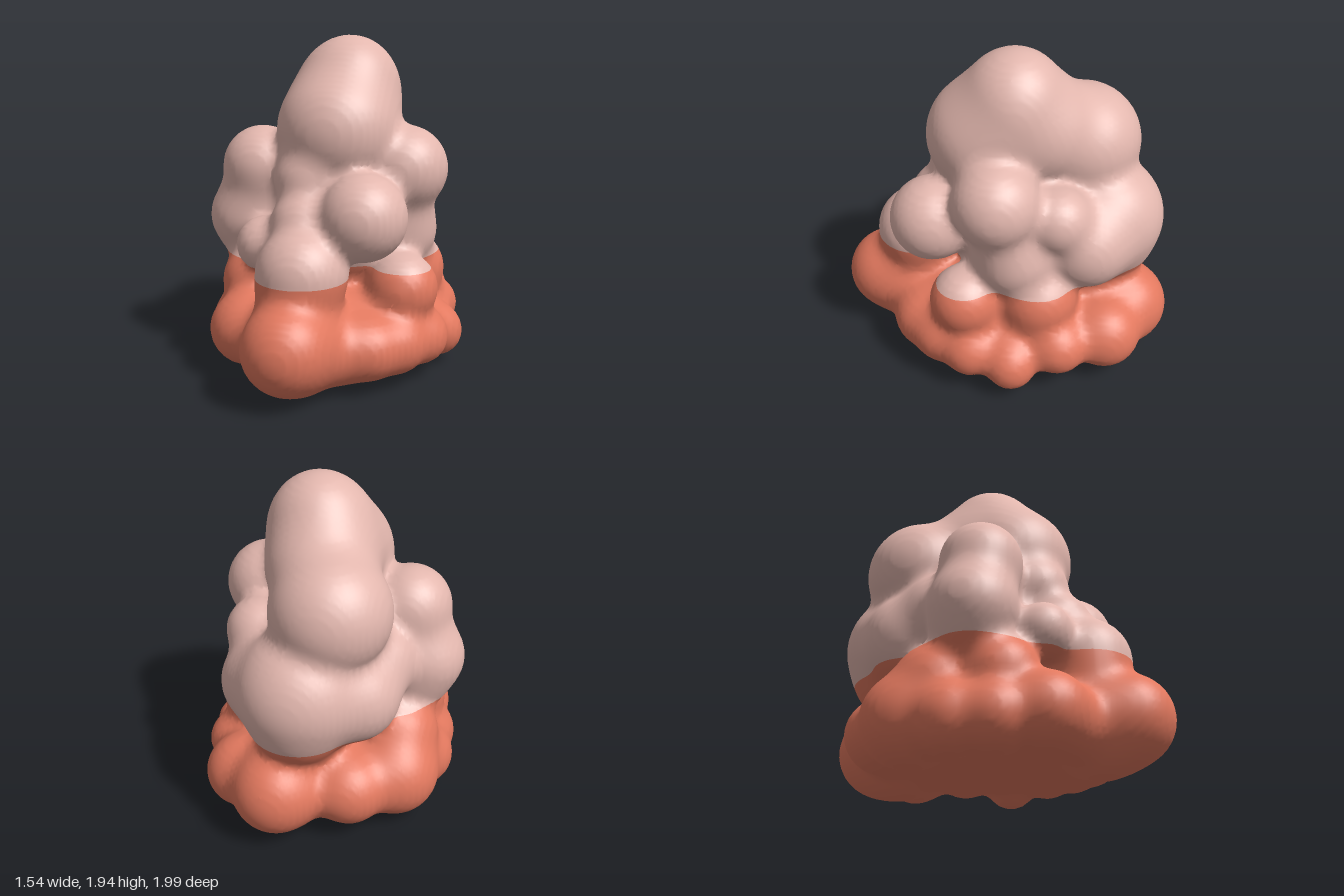
import * as THREE from 'three';

// Puffs of the cloud: x, y, z, radius
const crown = [
  [0.08, 1.67, -0.06, 0.277], [0.06, 1.55, -0.04, 0.32], [0.05, 1.42, 0.09, 0.352],
  [0.02, 1.46, -0.2, 0.32], [-0.1, 1.32, -0.44, 0.338],
];
const middle = [
  // core and back
  [0, 0.85, -0.05, 0.42], [0.03, 0.89, -0.575, 0.363], [0.03, 0.71, -0.62, 0.25],
  [-0.22, 0.84, -0.45, 0.28], [0.25, 0.85, -0.48, 0.27], [-0.3, 0.95, -0.25, 0.24],
  // right flank
  [-0.435, 1.18, 0.02, 0.237], [-0.46, 1.02, 0.01, 0.21], [-0.52, 0.87, 0, 0.248],
  [-0.48, 0.72, -0.03, 0.2],
  // left flank
  [0.425, 1.2, 0.02, 0.248], [0.38, 0.98, -0.03, 0.2], [0.36, 1.07, -0.32, 0.19],
  [0.35, 0.82, -0.08, 0.25], [0.27, 0.98, 0.395, 0.245],
  // front column
  [-0.08, 1.15, 0.25, 0.2], [-0.07, 0.92, 0.38, 0.19], [-0.04, 0.68, 0.53, 0.257],
  [-0.06, 0.5, 0.55, 0.23], [-0.32, 0.78, 0.34, 0.16],
  // waist
  [0.455, 0.54, 0.2, 0.203], [0.4, 0.54, -0.22, 0.23], [-0.44, 0.46, -0.22, 0.24],
  [-0.43, 0.5, 0.13, 0.22], [0.05, 0.52, -0.5, 0.25],
];
const skirt = [
  [-0.06, 0.32, 0.745, 0.255], [-0.05, 0.28, 0.59, 0.275], [0.17, 0.24, 0.5, 0.185],
  [0.33, 0.25, 0.46, 0.17], [0.45, 0.25, 0.33, 0.17], [0.56, 0.24, 0.16, 0.155],
  [0.62, 0.2, -0.08, 0.15], [0.53, 0.28, -0.35, 0.165], [0.38, 0.28, -0.62, 0.215],
  [0.13, 0.3, -0.74, 0.257], [0.1, 0.28, -0.6, 0.265], [-0.25, 0.28, -0.58, 0.215],
  [-0.46, 0.28, -0.36, 0.26], [-0.56, 0.23, -0.1, 0.195], [-0.53, 0.23, 0.13, 0.19],
  [-0.42, 0.28, 0.38, 0.215], [-0.25, 0.25, 0.47, 0.18],
];
const puffs = [...crown, ...middle, ...skirt];
const BLEND = 0.075;
const COLOR_LINE = 0.66;

// Signed distance to the softly merged puffs over a flattened base
function field(x, y, z) {
  const q = Math.hypot(x / 0.63, (y - 0.3) / 0.27, (z + 0.05) / 0.72);
  let d = (q - 1) * 0.27;
  for (const [cx, cy, cz, r] of puffs) {
    const e = Math.sqrt((x - cx) ** 2 + (y - cy) ** 2 + (z - cz) ** 2) - r;
    const h = Math.max(BLEND - Math.abs(d - e), 0) / BLEND;
    d = Math.min(d, e) - h * h * BLEND * 0.25;
  }
  return d;
}

// One vertex per crossed grid cell, one quad per crossed grid edge
function surfaceNet(step) {
  const min = [-0.9, -0.15, -1.14];
  const [nx, ny, nz] = [1.8, 2.25, 2.28].map((s) => Math.ceil(s / step) + 1);
  const stride = [1, nx, nx * ny];
  const values = new Float32Array(nx * ny * nz);
  const at = (i, j, k) => i + j * nx + k * nx * ny;
  for (let k = 0; k < nz; k++) for (let j = 0; j < ny; j++) for (let i = 0; i < nx; i++)
    values[at(i, j, k)] = field(min[0] + i * step, min[1] + j * step, min[2] + k * step);

  const cells = new Int32Array(values.length).fill(-1);
  const positions = [], index = [];
  for (let k = 0; k < nz - 1; k++) for (let j = 0; j < ny - 1; j++) for (let i = 0; i < nx - 1; i++) {
    const sum = [0, 0, 0];
    let count = 0;
    for (let c = 0; c < 8; c++) for (let a = 0; a < 3; a++) {
      if (c & (1 << a)) continue;
      const o = [c & 1, (c >> 1) & 1, (c >> 2) & 1];
      const p = at(i + o[0], j + o[1], k + o[2]);
      const v0 = values[p], v1 = values[p + stride[a]];
      if ((v0 < 0) === (v1 < 0)) continue;
      o[a] = v0 / (v0 - v1);
      for (let n = 0; n < 3; n++) sum[n] += o[n];
      count++;
    }
    if (!count) continue;
    cells[at(i, j, k)] = positions.length / 3;
    [i, j, k].forEach((g, n) => positions.push(min[n] + (g + sum[n] / count) * step));
  }
  for (let k = 1; k < nz - 1; k++) for (let j = 1; j < ny - 1; j++) for (let i = 1; i < nx - 1; i++) {
    const p = at(i, j, k);
    for (let a = 0; a < 3; a++) {
      const inside = values[p] < 0;
      if (inside === (values[p + stride[a]] < 0)) continue;
      const u = stride[(a + 1) % 3], v = stride[(a + 2) % 3];
      const [A, B, C, D] = [cells[p - u - v], cells[p - v], cells[p], cells[p - u]];
      if (inside) index.push(A, B, C, A, C, D);
      else index.push(A, C, B, A, D, C);
    }
  }
  const geometry = new THREE.BufferGeometry();
  geometry.setAttribute('position', new THREE.Float32BufferAttribute(positions, 3));
  geometry.setIndex(index);
  geometry.computeVertexNormals();
  return geometry;
}

// Keep the part above (side = 1) or below (side = -1) a level, cut cleanly
function cutAtLevel(geometry, level, side) {
  const P = geometry.attributes.position, N = geometry.attributes.normal, I = geometry.index;
  const pos = [], nor = [];
  const corner = (n) => ({
    p: new THREE.Vector3().fromBufferAttribute(P, n),
    n: new THREE.Vector3().fromBufferAttribute(N, n),
  });
  for (let t = 0; t < I.count; t += 3) {
    const tri = [0, 1, 2].map((n) => corner(I.getX(t + n)));
    const poly = [];
    tri.forEach((a, n) => {
      const b = tri[(n + 1) % 3];
      const da = (a.p.y - level) * side, db = (b.p.y - level) * side;
      if (da >= 0) poly.push(a);
      if ((da >= 0) !== (db >= 0)) {
        const f = da / (da - db);
        poly.push({ p: a.p.clone().lerp(b.p, f), n: a.n.clone().lerp(b.n, f).normalize() });
      }
    });
    for (let n = 1; n + 1 < poly.length; n++)
      for (const c of [poly[0], poly[n], poly[n + 1]]) {
        pos.push(c.p.x, c.p.y, c.p.z);
        nor.push(c.n.x, c.n.y, c.n.z);
      }
  }
  const out = new THREE.BufferGeometry();
  out.setAttribute('position', new THREE.Float32BufferAttribute(pos, 3));
  out.setAttribute('normal', new THREE.Float32BufferAttribute(nor, 3));
  return out;
}

export function createModel() {
  const group = new THREE.Group();
  group.name = 'billowingCloud';
  const paleSmoke = new THREE.MeshStandardMaterial({ name: 'paleSmoke', color: 0xe3b7ae });
  const emberOrange = new THREE.MeshStandardMaterial({ name: 'emberOrange', color: 0xe3795f });

  const body = surfaceNet(0.028);
  const upper = new THREE.Mesh(cutAtLevel(body, COLOR_LINE, 1), paleSmoke);
  upper.name = 'smokeTop';
  const lower = new THREE.Mesh(cutAtLevel(body, COLOR_LINE, -1), emberOrange);
  lower.name = 'fieryBase';
  group.add(upper, lower);
  return group;
}
